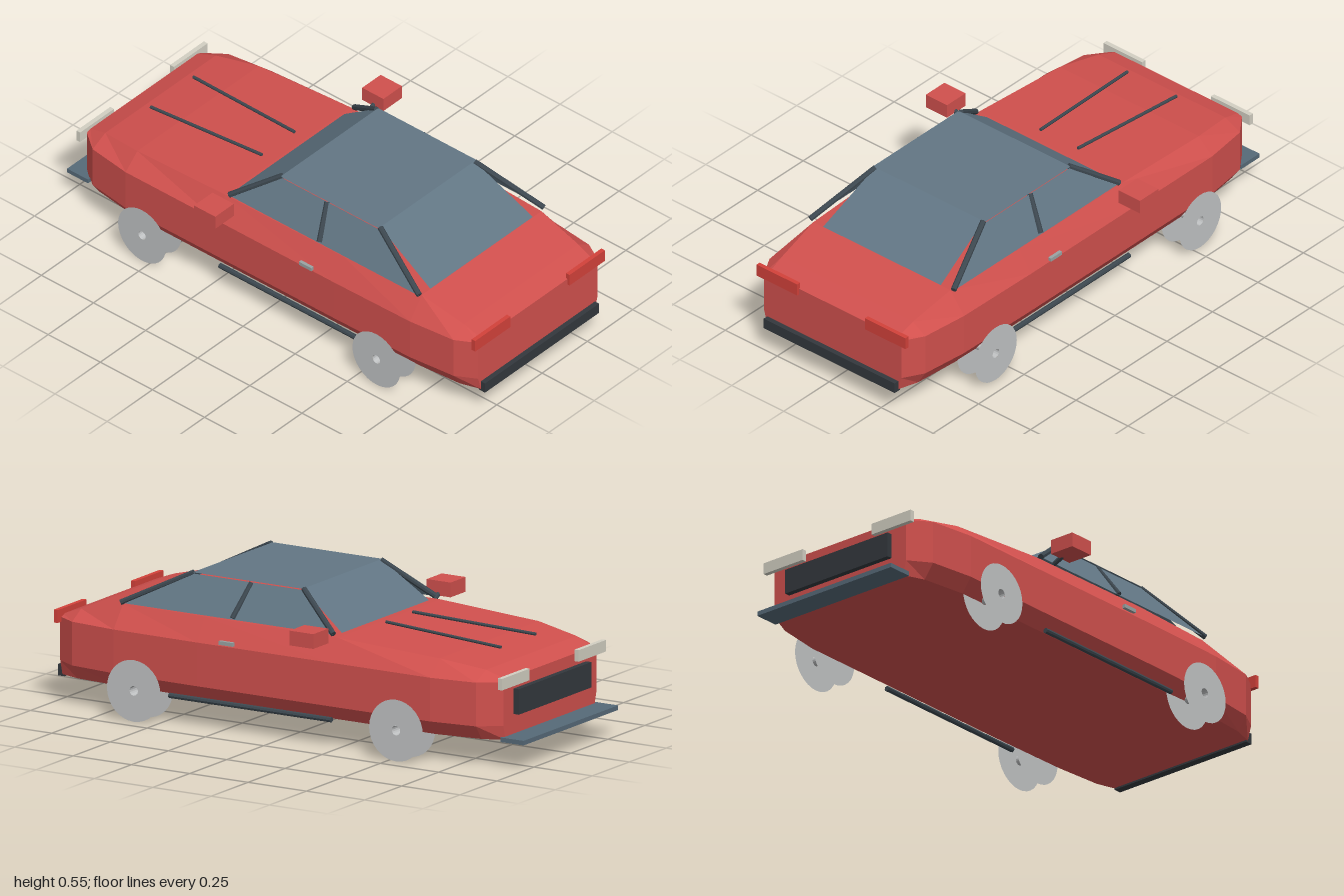
import * as THREE from 'three';

const mat = (name, color, side = THREE.FrontSide) => {
  const m = new THREE.MeshStandardMaterial({ color, side, flatShading: true });
  m.name = name;
  return m;
};

export function createModel() {
  const car = new THREE.Group();
  car.name = 'car';
  const M = {
    paint: mat('red paint', 0xd0504d),
    glass: mat('blue grey glass', 0x627684, THREE.DoubleSide),
    trim: mat('dark trim', 0x3c474f),
    grille: mat('grille charcoal', 0x33383d),
    metal: mat('light grey metal', 0xc0c2c3, THREE.DoubleSide),
    head: mat('headlight cream', 0xd2cfc2),
    tail: mat('tail light red', 0xd2413a),
    splitter: mat('slate splitter', 0x566a78),
    handle: mat('handle grey', 0x9aa3a3),
  };

  const add = (name, geometry, material) => {
    const mesh = new THREE.Mesh(geometry, material);
    mesh.name = name;
    car.add(mesh);
    return mesh;
  };
  // box given by its min and max corners
  const box = (name, material, a, b) => {
    const mesh = add(name, new THREE.BoxGeometry(b[0] - a[0], b[1] - a[1], b[2] - a[2]), material);
    mesh.position.set((a[0] + b[0]) / 2, (a[1] + b[1]) / 2, (a[2] + b[2]) / 2);
    return mesh;
  };
  // straight round bar between two points
  const bar = (name, material, a, b, r) => {
    const p = new THREE.Vector3(...a), q = new THREE.Vector3(...b);
    const d = q.clone().sub(p);
    const mesh = add(name, new THREE.CylinderGeometry(r, r, d.length(), 8), material);
    mesh.position.copy(p).add(q).multiplyScalar(0.5);
    mesh.quaternion.setFromUnitVectors(new THREE.Vector3(0, 1, 0), d.normalize());
    return mesh;
  };
  // four-cornered pane
  const pane = (name, a, b, c, d) => {
    const g = new THREE.BufferGeometry();
    g.setAttribute('position', new THREE.Float32BufferAttribute([a, b, c, a, c, d].flat(), 3));
    g.computeVertexNormals();
    return add(name, g, M.glass);
  };

  // body shell lofted along z: [z, bottom half width, side half width, top half width, top y]
  const stations = [
    [-0.91, 0.30, 0.315, 0.295, 0.325],
    [-0.83, 0.335, 0.375, 0.305, 0.352],
    [-0.65, 0.36, 0.40, 0.335, 0.377],
    [-0.22, 0.36, 0.40, 0.345, 0.400],
    [0.35, 0.36, 0.40, 0.345, 0.403],
    [0.71, 0.355, 0.395, 0.33, 0.402],
    [0.90, 0.34, 0.375, 0.315, 0.355],
    [0.98, 0.315, 0.33, 0.31, 0.325],
  ];
  const rings = stations.map(([z, wb, w, wt, top]) => {
    const half = [[wb, 0.1], [w, 0.155], [w, 0.318], [wt, top]];
    return [...half, ...half.map(([x, y]) => [-x, y]).reverse()].map(([x, y]) => [x, y, z]);
  });
  const tri = [];
  const n = rings[0].length;
  for (let s = 0; s < rings.length - 1; s++) {
    for (let i = 0; i < n; i++) {
      const j = (i + 1) % n, A = rings[s], B = rings[s + 1];
      tri.push(A[i], A[j], B[j], A[i], B[j], B[i]);
    }
  }
  const first = rings[0], last = rings[rings.length - 1];
  for (let i = 1; i < n - 1; i++) {
    tri.push(first[0], first[i + 1], first[i], last[0], last[i], last[i + 1]);
  }
  const shell = new THREE.BufferGeometry();
  shell.setAttribute('position', new THREE.Float32BufferAttribute(tri.flat(), 3));
  shell.computeVertexNormals();
  add('bodyShell', shell, M.paint);

  // cabin glass and roof
  pane('roof', [-0.27, 0.54, 0.45], [0.27, 0.54, 0.45], [0.27, 0.54, -0.02], [-0.27, 0.54, -0.02]);
  pane('windshield', [0.265, 0.54, -0.02], [0.295, 0.405, -0.205], [-0.295, 0.405, -0.205], [-0.265, 0.54, -0.02]);
  pane('rearWindow', [-0.26, 0.54, 0.45], [-0.283, 0.403, 0.71], [0.283, 0.403, 0.71], [0.26, 0.54, 0.45]);

  // everything mirrored left and right
  for (const s of [1, -1]) {
    const side = s > 0 ? 'left' : 'right';
    const sbox = (name, m, a, b) => box(side + name, m,
      [Math.min(s * a[0], s * b[0]), a[1], a[2]], [Math.max(s * a[0], s * b[0]), b[1], b[2]]);
    const sbar = (name, m, a, b, r) => bar(side + name, m, [s * a[0], a[1], a[2]], [s * b[0], b[1], b[2]], r);

    pane(side + 'SideWindow', [s * 0.268, 0.535, 0.45], [s * 0.347, 0.408, 0.71],
      [s * 0.347, 0.408, -0.2], [s * 0.268, 0.535, -0.02]);

    // window pillars
    sbar('FrontPillar', M.trim, [0.26, 0.538, -0.02], [0.345, 0.41, -0.2], 0.011);
    sbar('MiddlePillar', M.trim, [0.265, 0.532, 0.2], [0.345, 0.412, 0.232], 0.011);
    sbar('RearPillar', M.trim, [0.26, 0.538, 0.45], [0.345, 0.41, 0.71], 0.011);

    // mirrors, hood strips, sills and handles
    sbox('Mirror', M.paint, [0.413, 0.393, -0.222], [0.515, 0.448, -0.12]);
    sbar('MirrorArm', M.trim, [0.38, 0.38, -0.168], [0.43, 0.405, -0.168], 0.009);
    sbar('HoodStrip', M.trim, [0.09, 0.412, -0.265], [0.118, 0.39, -0.775], 0.006);
    sbar('Sill', M.trim, [0.38, 0.1, 0.48], [0.38, 0.1, -0.215], 0.01);
    sbox('DoorHandle', M.handle, [0.398, 0.325, 0.19], [0.411, 0.339, 0.25]);

    // lights
    sbox('Headlight', M.head, [0.165, 0.297, -0.928], [0.352, 0.34, -0.91]);
    sbox('TailLight', M.tail, [0.163, 0.3, 0.973], [0.358, 0.348, 0.99]);

    // wheels: two thin discs on an open hub tube
    for (const [end, z] of [['Front', -0.532], ['Rear', 0.592]]) {
      const wheel = new THREE.Group();
      wheel.name = side + end + 'Wheel';
      for (const x of [0.36, 0.445]) {
        const disc = new THREE.Mesh(new THREE.RingGeometry(0.018, 0.115, 32), M.metal);
        disc.name = 'wheelDisc';
        disc.rotation.y = s * Math.PI / 2;
        disc.position.x = s * x;
        wheel.add(disc);
      }
      const hub = new THREE.Mesh(new THREE.CylinderGeometry(0.018, 0.018, 0.085, 16, 1, true), M.metal);
      hub.name = 'hub';
      hub.rotation.z = Math.PI / 2;
      hub.position.x = s * 0.4025;
      wheel.add(hub);
      wheel.position.set(0, 0.115, z);
      car.add(wheel);
    }
  }

  // nose and tail fittings
  box('grille', M.grille, [-0.245, 0.185, -0.932], [0.245, 0.28, -0.908]);
  box('splitter', M.splitter, [-0.32, 0.095, -1], [0.32, 0.112, -0.9]);
  box('rearBumper', M.grille, [-0.315, 0.093, 0.97], [0.315, 0.135, 1]);

  return car;
}
